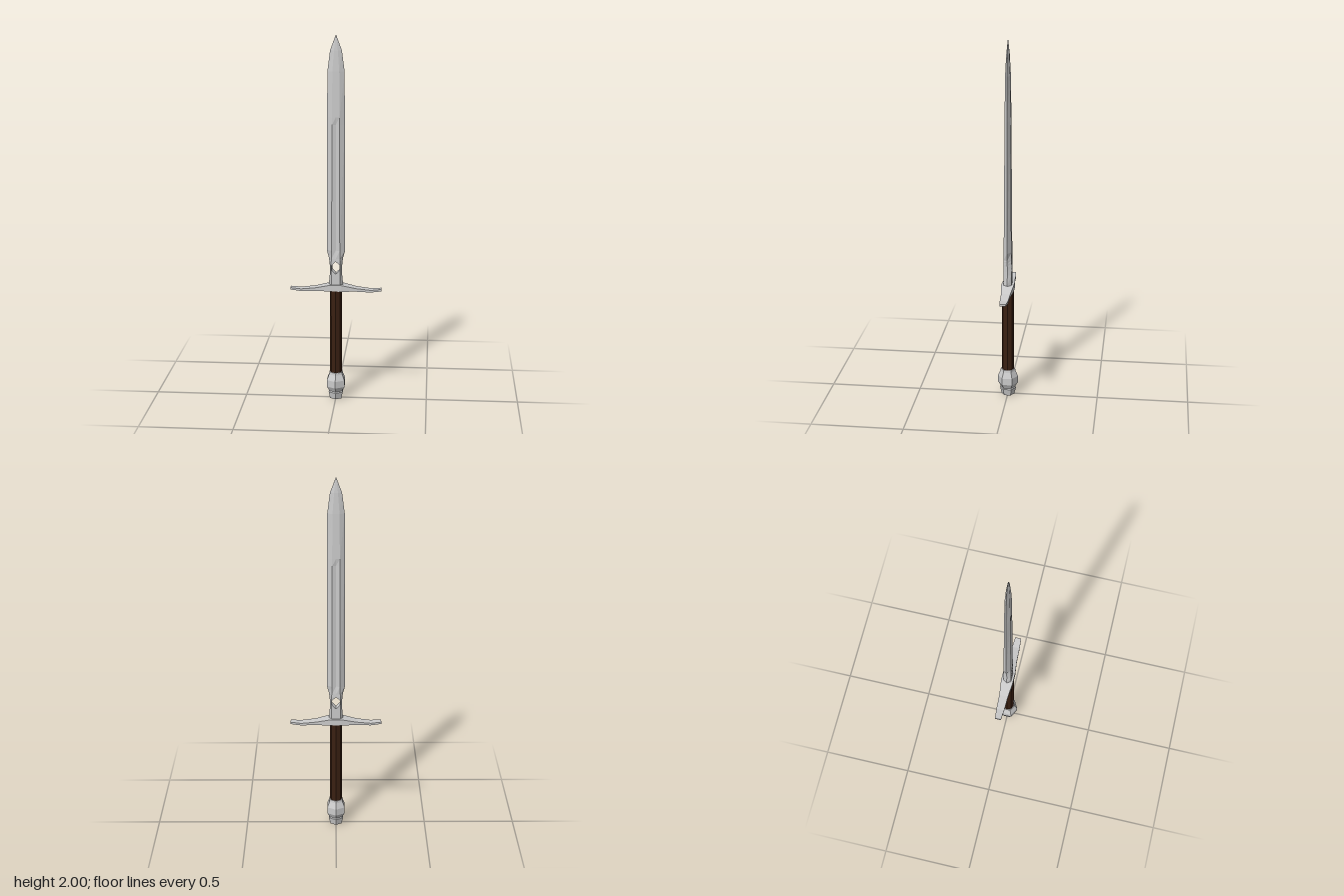
import * as THREE from 'three';

const grey = new THREE.MeshStandardMaterial({ color: 0xcccccc, flatShading: true });
const brown = new THREE.MeshStandardMaterial({ color: 0x3a2012, flatShading: true });

// Skin a row of equal-length loops with quads and close both ends.
// keep(section, side) can leave out hidden quads.
function loft(loops, keep = () => true) {
  const n = loops[0].length;
  const index = [];
  for (let s = 0; s < loops.length - 1; s++) {
    for (let i = 0; i < n; i++) {
      if (!keep(s, i)) continue;
      const a = s * n + i, b = s * n + (i + 1) % n;
      index.push(a, b, b + n, a, b + n, a + n);
    }
  }
  const last = (loops.length - 1) * n;
  for (let i = 1; i < n - 1; i++) {
    index.push(0, i + 1, i, last, last + i, last + i + 1);
  }
  const geometry = new THREE.BufferGeometry();
  geometry.setAttribute('position', new THREE.Float32BufferAttribute(loops.flat(2), 3));
  geometry.setIndex(index);
  const flat = geometry.toNonIndexed();
  flat.computeVertexNormals();
  return flat;
}

function add(group, name, geometry, material) {
  const mesh = new THREE.Mesh(geometry, material);
  mesh.name = name;
  group.add(mesh);
  return mesh;
}

export function createModel() {
  const sword = new THREE.Group();
  sword.name = 'sword';

  // Half blade: y, edge x, ridge x, half thickness, hole half width, fuller depth
  const stations = [
    [0.63, 0.040, 0.024, 0.022, 0, 0],
    [0.66, 0.038, 0.024, 0.022, 0, 0],
    [0.715, 0.033, 0.024, 0.022, 0, 0],
    [0.735, 0.033, 0.024, 0.022, 0.021, 0],
    [0.765, 0.034, 0.024, 0.022, 0.021, 0],
    [0.785, 0.036, 0.024, 0.022, 0, 0],
    [0.80, 0.038, 0.023, 0.021, 0, 0],
    [0.845, 0.050, 0.022, 0.021, 0, 0.006],
    [1.53, 0.047, 0.020, 0.016, 0, 0.005],
    [1.57, 0.047, 0.020, 0.016, 0, 0],
    [1.81, 0.045, 0.018, 0.013, 0, 0],
    [1.92, 0.031, 0.010, 0.008, 0, 0],
    [2.00, 0.0005, 0.0002, 0.0005, 0, 0],
  ];
  const halfBlade = loft(
    stations.map(([y, w, r, t, hole, g]) => [
      [hole, y, t - g], [r, y, t], [w, y, 0], [r, y, -t], [hole, y, g - t],
    ]),
    // The inner wall is only needed around the hole
    (s, i) => i < 4 || stations[s][4] + stations[s + 1][4] > 0,
  );
  const blade = new THREE.Group();
  blade.name = 'blade';
  add(blade, 'bladeLeftHalf', halfBlade, grey);
  add(blade, 'bladeRightHalf', halfBlade, grey).rotation.y = Math.PI;
  sword.add(blade);

  // Crossguard: x, bottom y, top y, half depth, mirrored along x
  const arm = [
    [0.03, 0.620, 0.655, 0.034],
    [0.11, 0.620, 0.637, 0.025],
    [0.19, 0.616, 0.628, 0.022],
    [0.248, 0.622, 0.633, 0.017],
  ];
  const mirrored = arm.map(([x, ...rest]) => [-x, ...rest]).reverse();
  add(sword, 'crossguard', loft([...mirrored, ...arm].map(([x, lo, hi, d]) => [
    [x, lo, -d], [x, hi, -d], [x, hi, d], [x, lo, d],
  ])), grey);

  // Grip
  const grip = new THREE.CylinderGeometry(0.034, 0.034, 0.49, 8);
  grip.translate(0, 0.385, 0);
  add(sword, 'grip', grip, brown);

  // Six-sided pommel with a groove above its foot
  const profile = [
    [0, 0], [0.036, 0], [0.045, 0.038], [0.041, 0.044], [0.045, 0.052],
    [0.056, 0.07], [0.056, 0.108], [0.042, 0.14], [0.040, 0.153], [0, 0.153],
  ].map(([r, y]) => new THREE.Vector2(r, y));
  add(sword, 'pommel', new THREE.LatheGeometry(profile, 6), grey);

  return sword;
}
